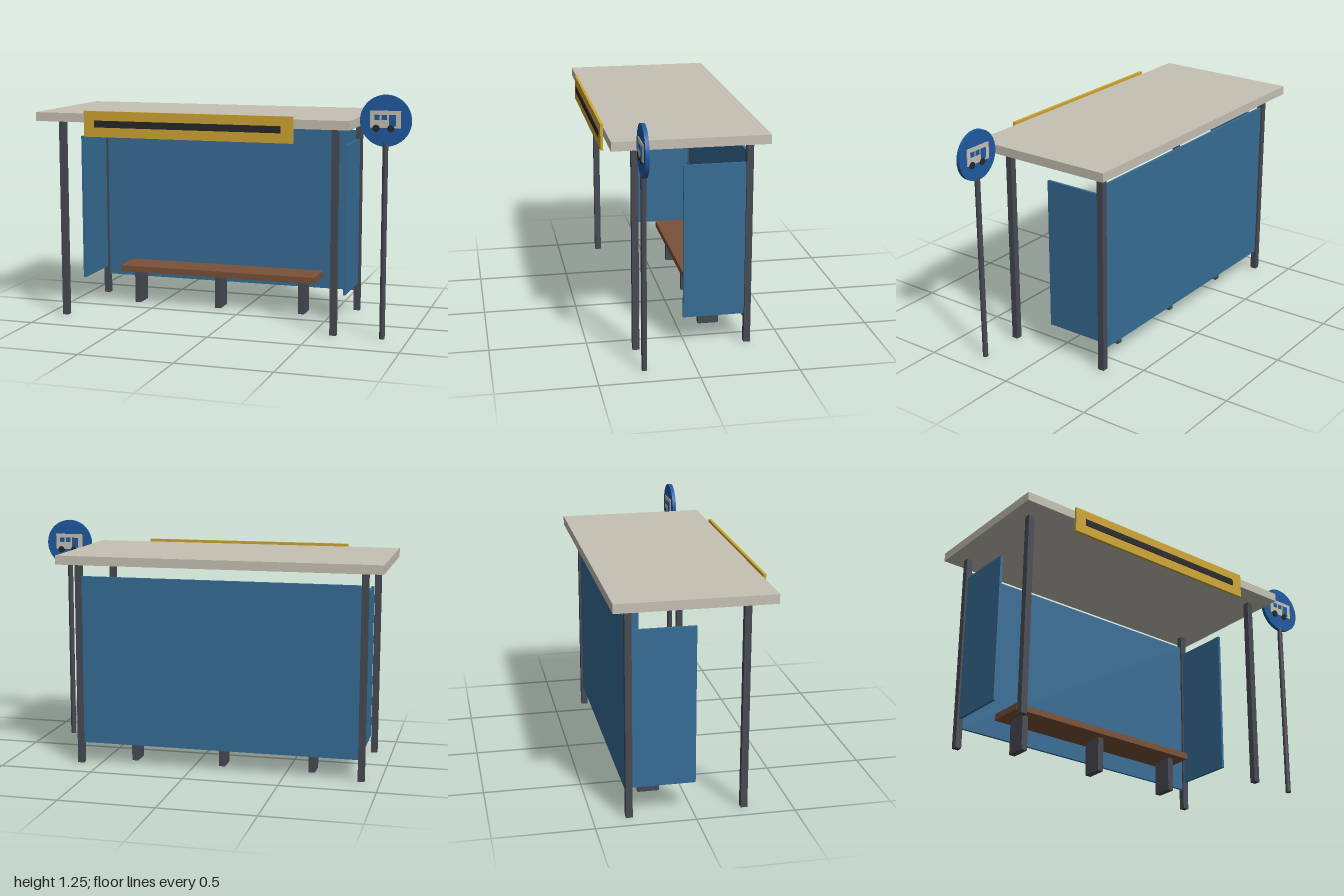
import * as THREE from 'three';

const paint = (name, color) => {
  const m = new THREE.MeshStandardMaterial({ color });
  m.name = name;
  return m;
};

export function createModel() {
  const metal = paint('dark metal', 0x474a53);
  const glass = paint('blue glass', 0x376d96);
  const stone = paint('pale roof', 0xc6c1b4);
  const yellow = paint('yellow board', 0xd0a632);
  const black = paint('black', 0x27282b);
  const wood = paint('brown wood', 0x7a5138);
  const signBlue = paint('sign blue', 0x1f5aa0);

  const model = new THREE.Group();
  model.name = 'busShelter';

  // Box given by its lower and upper bounds on each axis
  const box = (parent, name, mat, [x0, x1], [y0, y1], [z0, z1]) => {
    const mesh = new THREE.Mesh(new THREE.BoxGeometry(x1 - x0, y1 - y0, z1 - z0), mat);
    mesh.position.set((x0 + x1) / 2, (y0 + y1) / 2, (z0 + z1) / 2);
    mesh.name = name;
    parent.add(mesh);
    return mesh;
  };
  const around = (c, w) => [c - w / 2, c + w / 2];

  // Roof and front board
  box(model, 'roof', stone, [-1, 0.71], [1.08, 1.127], [-0.404, 0.387]);
  box(model, 'frontBoard', yellow, [-0.715, 0.423], [1.006, 1.142], [0.387, 0.401]);
  box(model, 'boardStripe', black, [-0.655, 0.36], [1.057, 1.093], [0.4, 0.405]);

  // Four corner posts and the two side panels
  for (const x of [-0.902, 0.61]) {
    for (const z of [0.26, -0.32]) {
      box(model, 'post', metal, around(x, 0.034), [0, 1.08], around(z, 0.034));
    }
    box(model, 'sidePanel', glass, around(x, 0.014), [0.156, 0.965], [-0.304, 0.014]);
  }
  box(model, 'backPanel', glass, [-0.887, 0.595], [0.112, 1.012], around(-0.32, 0.014));

  // Bench
  box(model, 'benchSeat', wood, [-0.715, 0.423], [0.186, 0.22], around(-0.173, 0.2));
  for (const x of [-0.63, -0.146, 0.338]) {
    box(model, 'benchLeg', metal, around(x, 0.034), [0, 0.187], around(-0.173, 0.11));
  }

  // Stop sign: pole, round plate and the pictogram on both faces
  const sign = new THREE.Group();
  sign.name = 'stopSign';
  sign.position.set(0.866, 0, 0.257);
  model.add(sign);

  const pole = new THREE.Mesh(new THREE.CylinderGeometry(0.0145, 0.0145, 1.01, 12), metal);
  pole.position.y = 0.505;
  pole.name = 'signPole';
  sign.add(pole);

  const disc = new THREE.Mesh(new THREE.CylinderGeometry(0.13, 0.13, 0.02, 40), signBlue);
  disc.rotation.x = Math.PI / 2;
  disc.position.y = 1.122;
  disc.name = 'signPlate';
  sign.add(disc);

  for (const turn of [0, Math.PI]) {
    const icon = new THREE.Group();
    icon.name = 'busPictogram';
    icon.rotation.y = turn;
    icon.position.y = 1.122;
    sign.add(icon);
    box(icon, 'busBody', stone, [-0.078, 0.078], [-0.036, 0.051], [0.009, 0.014]);
    box(icon, 'busWindow', signBlue, [-0.056, -0.029], [0.004, 0.03], [0.013, 0.016]);
    box(icon, 'busWindow', signBlue, [-0.019, 0.008], [0.004, 0.03], [0.013, 0.016]);
    box(icon, 'busDoor', signBlue, [0.018, 0.054], [-0.026, 0.03], [0.013, 0.016]);
    for (const x of [-0.047, 0.028]) {
      const wheel = new THREE.Mesh(new THREE.CylinderGeometry(0.018, 0.018, 0.009, 16), black);
      wheel.rotation.x = Math.PI / 2;
      wheel.position.set(x, -0.038, 0.0135);
      wheel.name = 'busWheel';
      icon.add(wheel);
    }
  }
  return model;
}
